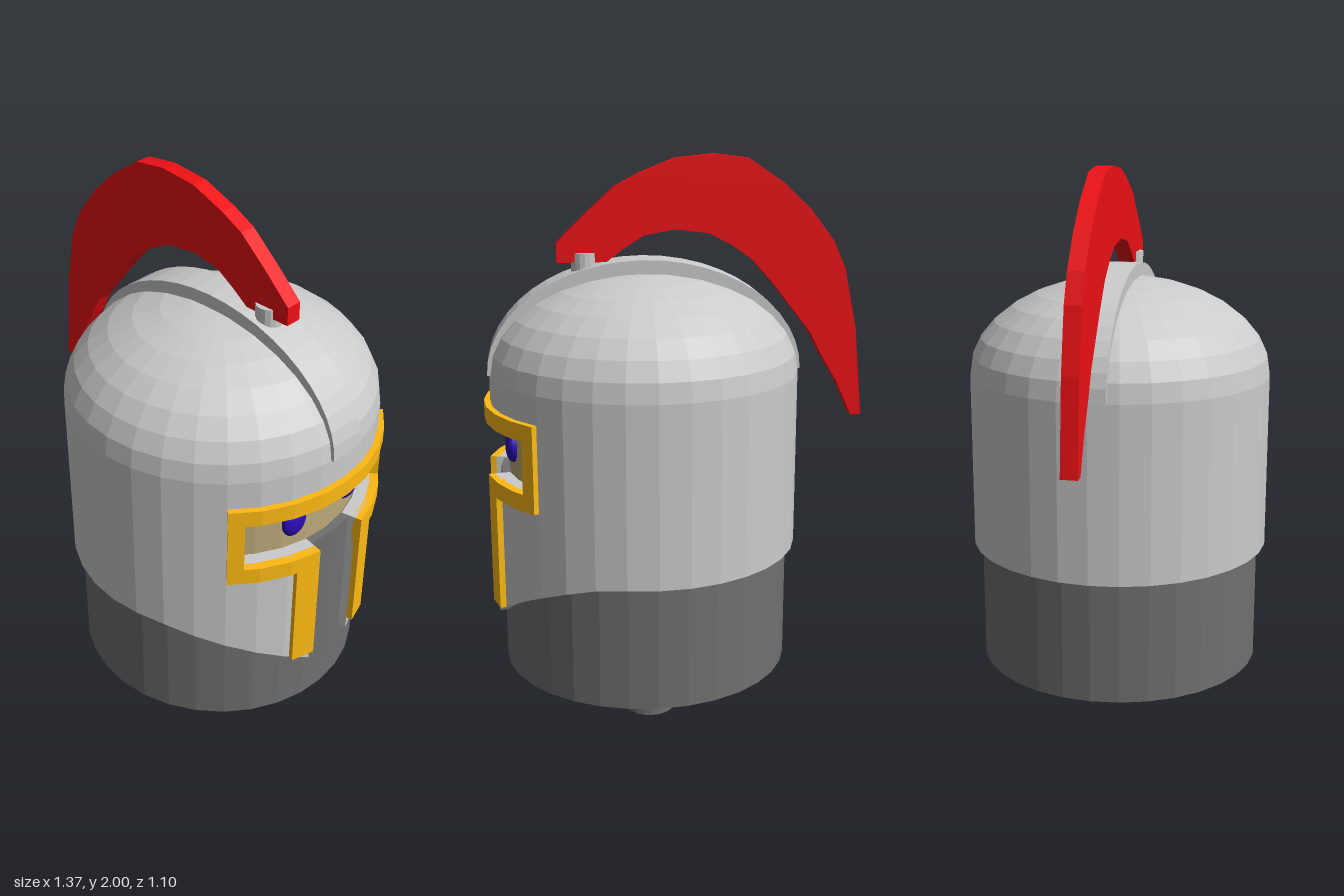
import * as THREE from 'three';

const CX = 0.11;              // axis of the head
const SIDES = 32;
const STEP = (Math.PI * 2) / SIDES;
const mat = (color) => new THREE.MeshStandardMaterial({ color, flatShading: true });

// Distance to a 32-sided polygon, so every panel shares the same facets
function facetRadius(r, a) {
  const m = ((a % STEP) + STEP) % STEP;
  return (r * Math.cos(STEP / 2)) / Math.cos(m - STEP / 2);
}

// Solid curved wall from angle a0 to a1 (0 faces +x); bottom may be a function of angle
function wallGeometry(a0, a1, bottom, top, rIn, rOut) {
  const angles = [a0];
  for (let k = Math.ceil(a0 / STEP - 1e-6); k * STEP < a1 - 1e-4; k++) {
    if (k * STEP > a0 + 1e-4) angles.push(k * STEP);
  }
  angles.push(a1);
  const pos = [], idx = [];
  for (const a of angles) {
    const yb = typeof bottom === 'function' ? bottom(a) : bottom;
    for (const [r, y] of [[rOut, yb], [rOut, top], [rIn, top], [rIn, yb]]) {
      const f = facetRadius(r, a);
      pos.push(CX + f * Math.cos(a), y, f * Math.sin(a));
    }
  }
  const quad = (a, b, c, d) => idx.push(a, b, c, a, c, d);
  const last = (angles.length - 1) * 4;
  for (let i = 0; i < last; i += 4) {
    for (let k = 0; k < 4; k++) {
      const n = (k + 1) % 4;
      quad(i + k, i + n, i + 4 + n, i + 4 + k);
    }
  }
  quad(3, 2, 1, 0);
  quad(last, last + 1, last + 2, last + 3);
  const indexed = new THREE.BufferGeometry();
  indexed.setAttribute('position', new THREE.Float32BufferAttribute(pos, 3));
  indexed.setIndex(idx);
  const g = indexed.toNonIndexed();
  g.computeVertexNormals();
  return g;
}

export function createModel() {
  const model = new THREE.Group();
  const steel = mat(0xcccccc), dark = mat(0x707070), gold = mat(0xfdba12);
  const red = mat(0xee1015), skin = mat(0xbca97a);
  const blue = new THREE.MeshStandardMaterial({ color: 0x2a0cb4 });

  const add = (name, geometry, material, x = 0, y = 0, z = 0, parent = model) => {
    const mesh = new THREE.Mesh(geometry, material);
    mesh.name = name;
    mesh.position.set(x, y, z);
    parent.add(mesh);
    return mesh;
  };
  const group = (name) => {
    const g = new THREE.Group();
    g.name = name;
    model.add(g);
    return g;
  };
  const cylinder = (r, y0, y1, n) => new THREE.CylinderGeometry(r, r, y1 - y0, n).translate(0, (y0 + y1) / 2, 0);
  const mirroredWall = (name, parent, material, a0, a1, ...rest) => {
    add(name, wallGeometry(a0, a1, ...rest), material, 0, 0, 0, parent);
    add(name, wallGeometry(-a1, -a0, ...rest), material, 0, 0, 0, parent);
  };

  // Head, face band and the two pegs underneath
  add('head', cylinder(0.52, 0.17, 0.9, SIDES), dark, CX);
  add('faceBand', cylinder(0.49, 0.89, 1.12, SIDES), skin, CX);
  for (const s of [1, -1]) {
    add('foot', cylinder(0.09, 0, 0.18, 20), dark, CX, 0, s * 0.156);
  }
  for (const z of [0.15, -0.125]) {
    add('eye', new THREE.SphereGeometry(0.055, 20, 14).scale(0.5, 1.04, 0.97), blue, 0.582, 1.01, z);
  }

  // Angles of the openings: nose gap, cheek strip, slot end, frame end
  const [nose, strip, slot, frame] = [0.11, 0.196, 0.36, 0.402].map((z) => Math.asin(z / 0.57));

  // Helmet wall with a T-shaped opening and cheeks dipping towards the front
  const helmet = group('helmet');
  const rim = (a) => (Math.cos(a) < 0 ? 0.615
    : Math.min(0.615, 0.435 + (Math.abs(Math.sin(a)) * 0.55 - 0.2) * 0.56));
  add('brow', wallGeometry(-slot, slot, 1.09, 1.25, 0.495, 0.55), steel, 0, 0, 0, helmet);
  mirroredWall('cheek', helmet, steel, nose, slot, rim, 0.905, 0.495, 0.55);
  add('helmetWall', wallGeometry(slot, Math.PI * 2 - slot, rim, 1.25, 0.495, 0.55), steel, 0, 0, 0, helmet);

  // Dome
  const dome = [];
  for (let i = 0; i <= 8; i++) {
    const t = (i / 8) * Math.PI / 2;
    dome.push(new THREE.Vector2(i === 8 ? 0 : 0.55 * Math.cos(t), 1.25 + 0.35 * Math.sin(t)));
  }
  add('dome', new THREE.LatheGeometry(dome, SIDES), steel, CX, 0, 0, helmet);

  // Raised ridge over the dome
  const ridge = new THREE.Shape();
  ridge.absellipse(0, 1.25, 0.555, 0.395, 0, Math.PI, false);
  ridge.absellipse(0, 1.25, 0.5, 0.3, Math.PI, 0, true);
  ridge.closePath();
  add('ridge', new THREE.ExtrudeGeometry(ridge, { depth: 0.136, bevelEnabled: false, curveSegments: 12 }),
    steel, CX, 0, -0.07, helmet);

  // Gold trim around the opening
  const trim = group('trim');
  add('trimTop', wallGeometry(-frame, frame, 1.09, 1.15, 0.54, 0.572), gold, 0, 0, 0, trim);
  mirroredWall('trimSide', trim, gold, slot, frame, 0.905, 1.09, 0.54, 0.572);
  mirroredWall('trimBottom', trim, gold, nose, frame, 0.845, 0.905, 0.54, 0.572);
  mirroredWall('trimCheek', trim, gold, nose, strip, 0.43, 0.845, 0.54, 0.572);

  // Plume holder and plume
  add('plumeHolder', cylinder(0.047, 1.52, 1.668, 16), steel, 0.315);
  const outline = [
    [-0.685, 1.062], [-0.655, 1.385], [-0.61, 1.6], [-0.565, 1.7], [-0.48, 1.81], [-0.385, 1.9],
    [-0.26, 1.985], [-0.14, 2], [0, 1.985], [0.125, 1.935], [0.21, 1.89], [0.31, 1.8], [0.413, 1.7],
    [0.413, 1.635], [0.24, 1.635], [0.18, 1.68], [0.11, 1.725], [0, 1.745], [-0.12, 1.73],
    [-0.205, 1.685], [-0.275, 1.635], [-0.35, 1.55], [-0.42, 1.46], [-0.49, 1.37], [-0.53, 1.29],
    [-0.59, 1.19], [-0.648, 1.062],
  ].map(([x, y]) => new THREE.Vector2(x, y));
  add('plume', new THREE.ExtrudeGeometry(new THREE.Shape(outline), { depth: 0.058, bevelEnabled: false }),
    red, 0, 0, -0.031);

  return model;
}
